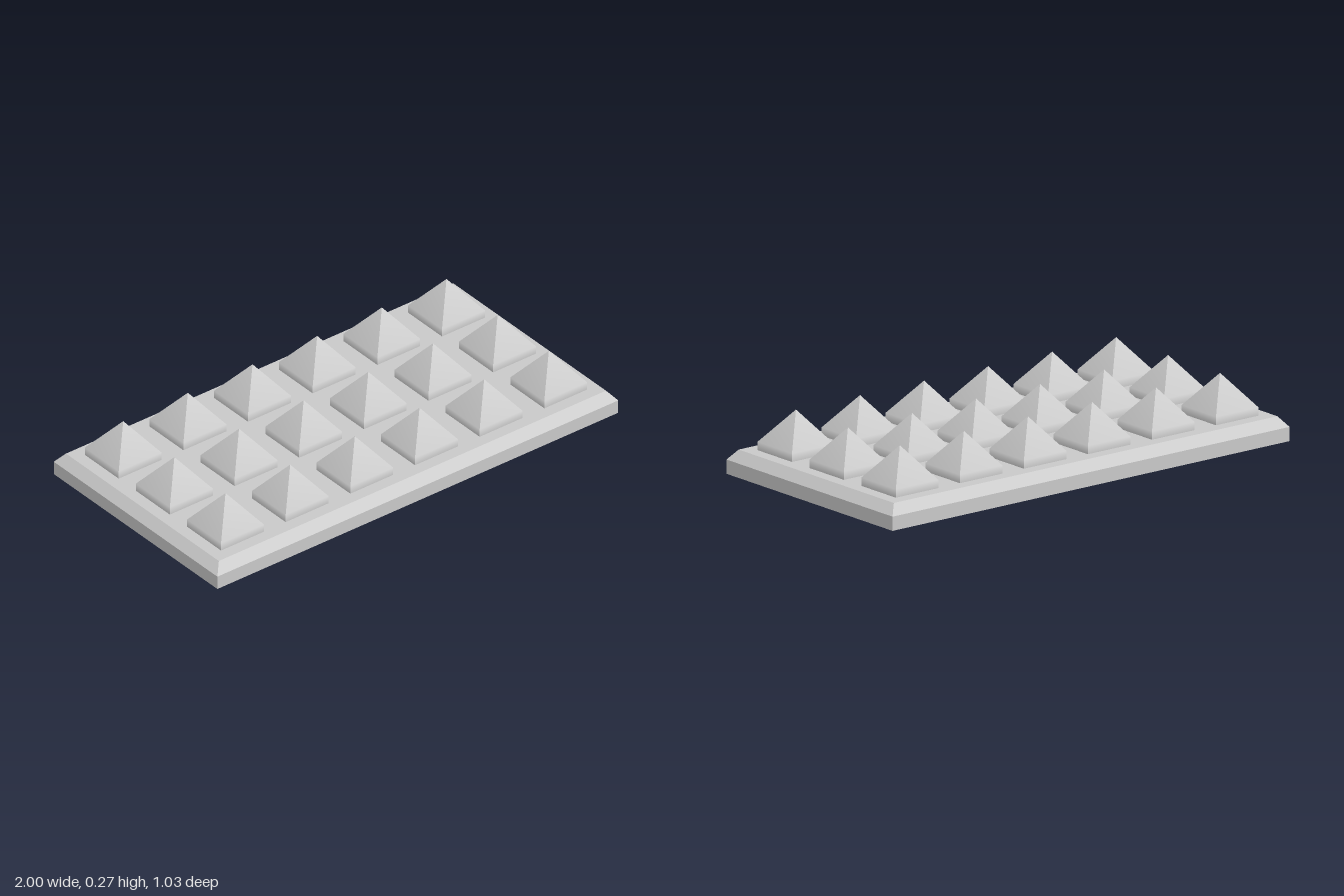
import * as THREE from 'three';

const material = new THREE.MeshStandardMaterial({ color: 0xcccccc });
const CORNERS = [[1, 1], [1, -1], [-1, -1], [-1, 1]];

// Four-sided solid from stacked rectangles [halfX, halfZ, y]; a zero-size ring is a point.
// Each of the four sides is a separate strip, so the corner edges stay sharp.
function stackedRects(rings, smoothSides) {
  const positions = [], indices = [];
  CORNERS.forEach((a, side) => {
    const b = CORNERS[(side + 1) % 4];
    const start = positions.length / 3;
    rings.forEach(([hx, hz, y], i) => {
      positions.push(a[0] * hx, y, a[1] * hz, b[0] * hx, y, b[1] * hz);
      if (i === 0) return;
      const p = start + 2 * (i - 1);
      if (rings[i - 1][0] > 0) indices.push(p, p + 1, p + 2);
      if (hx > 0) indices.push(p + 1, p + 3, p + 2);
    });
  });
  let geometry = new THREE.BufferGeometry();
  geometry.setAttribute('position', new THREE.Float32BufferAttribute(positions, 3));
  geometry.setIndex(indices);
  if (!smoothSides) geometry = geometry.toNonIndexed();
  geometry.computeVertexNormals();
  return geometry;
}

export function createModel() {
  const model = new THREE.Group();
  model.name = 'studdedPlate';

  // Rectangular slab with a chamfered top rim
  const top = 0.1;
  const plate = new THREE.Mesh(stackedRects([
    [0, 0, 0], [1, 0.516, 0], [1, 0.516, 0.058], [0.966, 0.482, top], [0, 0, top],
  ], false), material);
  plate.name = 'basePlate';
  model.add(plate);

  // Grid of pyramid studs: short upright walls blending into a pointed top
  const studs = new THREE.Group();
  studs.name = 'studs';
  const half = 0.107, pitch = 0.3226, columns = 6, rows = 3;
  const studGeometry = stackedRects([[half, half, 0], [half, half, 0.034], [0, 0, 0.17]], true);
  for (let row = 0; row < rows; row++) {
    for (let column = 0; column < columns; column++) {
      const stud = new THREE.Mesh(studGeometry, material);
      stud.name = `stud_${row + 1}_${column + 1}`;
      stud.position.set((column - (columns - 1) / 2) * pitch, top, (row - (rows - 1) / 2) * pitch);
      studs.add(stud);
    }
  }
  model.add(studs);
  return model;
}
